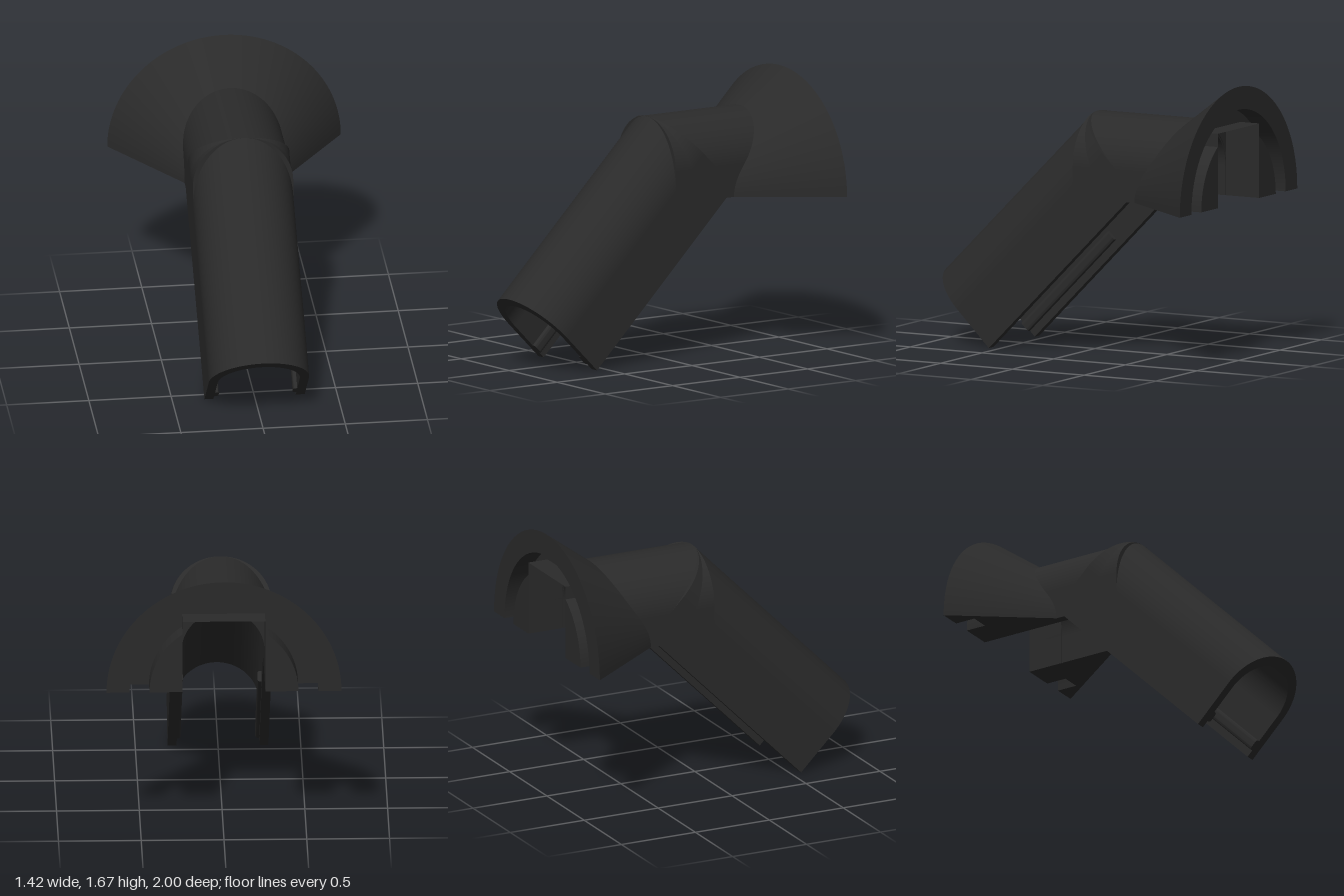
import * as THREE from 'three';
import { toCreasedNormals } from 'three/addons/utils/BufferGeometryUtils.js';

const R = 0.305;          // outer pipe radius
const RI = 0.25;          // inner pipe radius
const ROOF = 0.067;       // wall thickness at the crown
const BASE = 0.96;        // open underside of the horizontal part
const NECK = 0.495;       // height of the horizontal channel

// Upside-down U channel: arched roof with straight side walls, open below
function channel(height, length) {
  const s = new THREE.Shape();
  s.moveTo(R, 0);
  s.lineTo(R, height - R);
  s.absarc(0, height - R, R, 0, Math.PI, false);
  s.lineTo(-R, 0);
  s.lineTo(-RI, 0);
  s.lineTo(-RI, height - ROOF - RI);
  s.absarc(0, height - ROOF - RI, RI, Math.PI, 0, true);
  s.lineTo(RI, 0);
  s.closePath();
  const g = new THREE.ExtrudeGeometry(s, { depth: length, bevelEnabled: false, curveSegments: 40 });
  return toCreasedNormals(g, 0.5);
}

// Polar radius of the arched passage, measured from the cone axis
function passage(t) {
  const cx = Math.abs(Math.cos(t)), sy = Math.sin(t);
  const c = NECK - ROOF - RI;
  const wall = cx > 1e-6 ? RI / cx : Infinity;
  if (wall * sy <= c) return wall + 0.01;
  return c * sy + Math.sqrt(RI * RI - c * c * cx * cx) + 0.01;
}

// Polar radius of the rectangular opening at the back
function opening(t) {
  return Math.min(RI / Math.max(Math.abs(Math.cos(t)), 1e-6), 0.455 / Math.max(Math.sin(t), 1e-6));
}

// Closed (radius, z) outline of the flare at one angle
function flareOutline(t) {
  const inner = passage(t), box = opening(t), core = Math.max(0.45, box);
  const pts = [];
  for (let i = 0; i <= 16; i++) {
    const k = i / 16;
    pts.push([Math.max(R + 0.405 * k, inner + 0.02), -0.45 - 0.55 * k]);
  }
  pts.push([0.57, -1], [0.57, -0.87], [core, -0.87], [core, -1], [box, -1], [box, -0.77], [inner, -0.77], [inner, -0.45]);
  return pts;
}

// Half cone with an annular groove and a passage through it
function flareGeometry() {
  const corners = [Math.atan2(0.455, RI), Math.acos(RI / 0.45)];
  const angles = [...corners, ...corners.map((a) => Math.PI - a)];
  for (let i = 0; i <= 72; i++) angles.push((Math.PI * i) / 72);
  angles.sort((a, b) => a - b);

  const rings = angles.map((t) => flareOutline(t).map(([r, z]) =>
    new THREE.Vector3(r * Math.cos(t), BASE + r * Math.sin(t), z)));
  const pos = [];
  const tri = (a, b, c) => {
    for (const p of [a, b, c]) pos.push(p.x, p.y, p.z);
  };
  for (let i = 0; i + 1 < rings.length; i++) {
    const p = rings[i], q = rings[i + 1], n = p.length;
    for (let j = 0; j < n; j++) {
      const k = (j + 1) % n;
      tri(p[j], p[k], q[k]);
      tri(p[j], q[k], q[j]);
    }
  }
  // flat undersides
  for (const ring of [rings[0], rings[rings.length - 1]]) {
    const flat = ring.map((p) => new THREE.Vector2(p.x, p.z));
    for (const [a, b, c] of THREE.ShapeUtils.triangulateShape(flat, [])) {
      const up = new THREE.Vector3().subVectors(ring[b], ring[a])
        .cross(new THREE.Vector3().subVectors(ring[c], ring[a])).y;
      if (up > 0) tri(ring[a], ring[c], ring[b]);
      else tri(ring[a], ring[b], ring[c]);
    }
  }
  const g = new THREE.BufferGeometry();
  g.setAttribute('position', new THREE.Float32BufferAttribute(pos, 3));
  return toCreasedNormals(g, 0.5);
}

// Rounded bead that runs along an inner side wall
function railGeometry(length) {
  const s = new THREE.Shape();
  s.moveTo(0.01, -0.035);
  s.lineTo(-0.01, -0.035);
  s.quadraticCurveTo(-0.025, -0.033, -0.025, -0.015);
  s.lineTo(-0.025, 0.015);
  s.quadraticCurveTo(-0.025, 0.033, -0.01, 0.035);
  s.lineTo(0.01, 0.035);
  s.closePath();
  const g = new THREE.ExtrudeGeometry(s, { depth: length, bevelEnabled: false, curveSegments: 6 });
  g.translate(0, 0, -length / 2);
  return toCreasedNormals(g, 0.6);
}

export function createModel() {
  const charcoal = new THREE.MeshStandardMaterial({ color: 0x2a2a2a });
  charcoal.name = 'charcoal';
  const model = new THREE.Group();
  model.name = 'halfPipeSpout';
  const add = (parent, name, geometry) => {
    const m = new THREE.Mesh(geometry, charcoal);
    m.name = name;
    parent.add(m);
    return m;
  };

  // Sloping channel, tilted 45 degrees down to the front
  const slope = new THREE.Group();
  slope.name = 'slopingChannel';
  slope.position.set(0, 1.02, -0.455);
  slope.rotation.x = Math.PI / 4;
  model.add(slope);
  const length = 1.02 * Math.SQRT2;
  add(slope, 'slopingShell', channel(0.615, length));

  // Rails inside the lower end of the slope
  for (const side of [1, -1]) {
    const rail = add(slope, side > 0 ? 'leftRail' : 'rightRail', railGeometry(0.85));
    rail.position.set(side * RI, 0.082, length - 0.425);
    if (side < 0) rail.rotation.y = Math.PI;
  }

  // Level channel joining the slope to the flare
  add(model, 'levelChannel', channel(NECK, 0.745)).position.set(0, BASE, -0.765);

  // Flared collar at the back
  add(model, 'flaredCollar', flareGeometry());
  return model;
}
